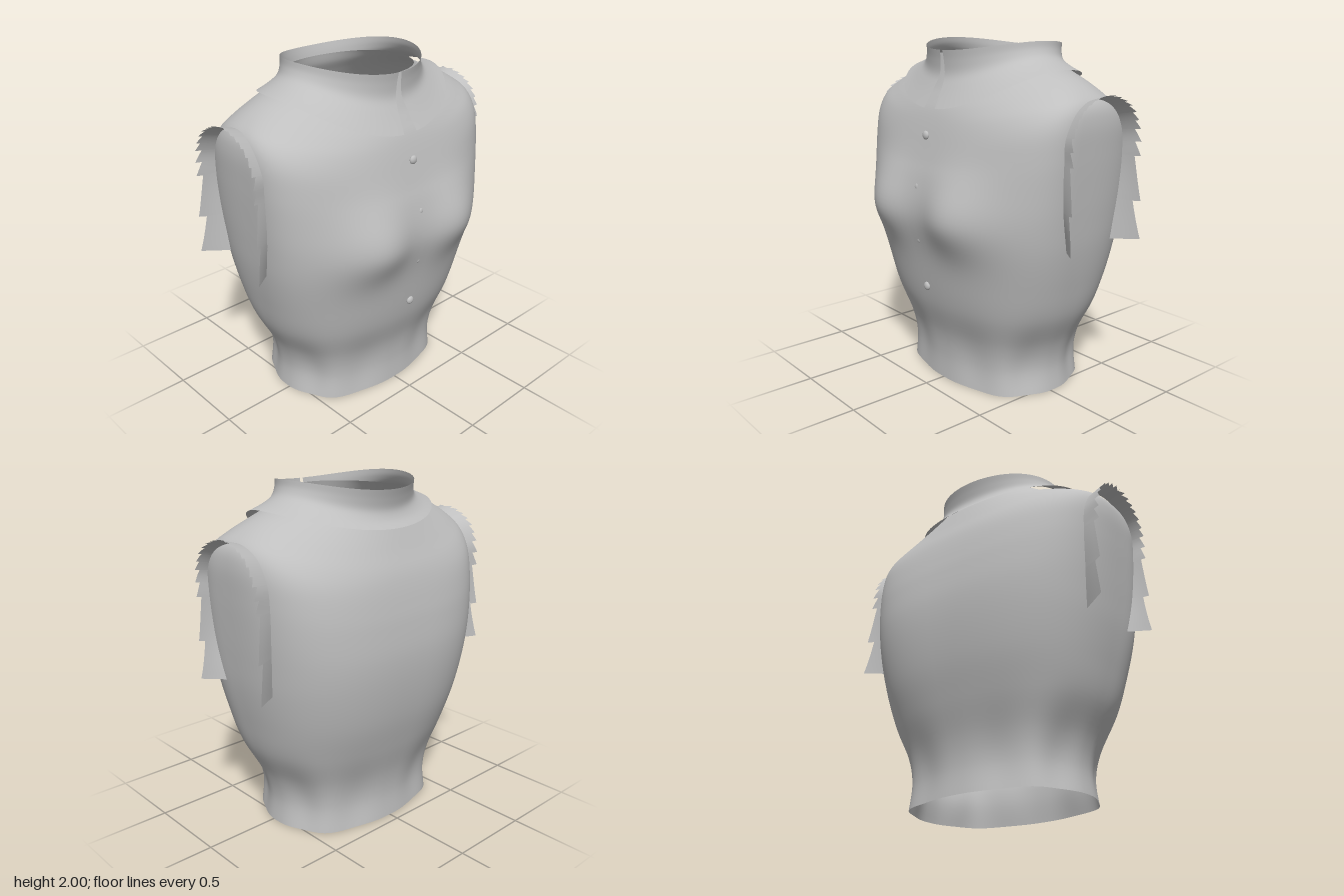
import * as THREE from 'three';

const fabric = new THREE.MeshStandardMaterial({ color: 0xbfbfbf, side: THREE.DoubleSide });
fabric.name = 'grey fabric';

// Ring: [half width, side y, front z, front y, back z, back y, widest z, front exponent, back exponent]
const level = (y, w, front, back, mid, nf, nb) => [w, y, front, y, back, y, mid, nf, nb];
const BODY = [
  level(0, 0.55, 0.37, -0.44, -0.03, 2.5, 2.5), level(0.15, 0.537, 0.365, -0.43, -0.03, 2.5, 2.5),
  level(0.3, 0.57, 0.385, -0.45, -0.02, 2.5, 2.5), level(0.5, 0.665, 0.45, -0.51, 0, 2.4, 2.5),
  level(0.7, 0.718, 0.49, -0.562, 0.03, 2.4, 2.7), level(0.9, 0.757, 0.515, -0.592, 0.06, 2.45, 2.9),
  level(1.08, 0.778, 0.52, -0.6, 0.08, 2.5, 3.1), level(1.25, 0.793, 0.51, -0.585, 0.09, 2.5, 3.3),
  [0.806, 1.43, 0.49, 1.36, -0.567, 1.36, 0.09, 2.5, 3.3],
  [0.811, 1.59, 0.465, 1.47, -0.545, 1.46, 0.07, 2.5, 3.1],
  [0.788, 1.69, 0.44, 1.56, -0.52, 1.54, 0.03, 2.4, 2.7],
  [0.718, 1.755, 0.415, 1.63, -0.48, 1.63, -0.01, 2.2, 2.3],
  [0.62, 1.81, 0.385, 1.69, -0.445, 1.71, -0.03, 2.05, 2.05],
  [0.52, 1.85, 0.355, 1.75, -0.415, 1.775, -0.03, 2, 2],
  [0.44, 1.885, 0.325, 1.83, -0.382, 1.84, -0.03, 2, 2],
  [0.375, 1.92, 0.3, 1.93, -0.37, 1.9, -0.035, 2, 2],
];
const COLLAR = [
  [0.585, 1.855, 0.44, 1.635, -0.45, 1.75, -0.005, 2.05, 2.05],
  [0.5, 1.885, 0.378, 1.745, -0.412, 1.79, -0.02, 2.05, 2.05],
  [0.44, 1.918, 0.347, 1.815, -0.392, 1.84, -0.025, 2, 2],
  [0.41, 1.96, 0.345, 1.89, -0.4, 1.9, -0.03, 2, 2],
  [0.4, 2, 0.352, 1.95, -0.415, 1.955, -0.03, 2, 2],
];

// Smooth interpolation between rings
function ringAt(rings, t) {
  const f = t * (rings.length - 1);
  const i = Math.min(Math.floor(f), rings.length - 2), u = f - i;
  const at = (k) => rings[Math.max(0, Math.min(rings.length - 1, k))];
  return rings[0].map((_, j) => {
    const a = at(i - 1)[j], b = at(i)[j], c = at(i + 1)[j], d = at(i + 2)[j];
    return b + 0.5 * u * (c - a + u * (2 * a - 5 * b + 4 * c - d + u * (3 * (b - c) + d - a)));
  });
}

function ringPoint([w, ySide, zf, yf, zb, yb, mid, nf, nb], a) {
  const c = Math.cos(a), s = Math.sin(a);
  const n = s > 0 ? nf : nb;
  const pow = (v) => Math.abs(v) ** (2 / n);
  const y = ySide * c * c + (s > 0 ? yf : yb) * s * s;
  return new THREE.Vector3(w * Math.sign(c) * pow(c), y, mid + ((s > 0 ? zf : zb) - mid) * pow(s));
}

// Surface from a grid of points; wrap joins the last column to the first
function gridGeometry(rows, cols, wrap, pointAt) {
  const pos = [], index = [];
  for (let r = 0; r < rows; r++)
    for (let c = 0; c < cols; c++) pos.push(...pointAt(r, c).toArray());
  for (let r = 0; r < rows - 1; r++)
    for (let c = 0; c < (wrap ? cols : cols - 1); c++) {
      const a = r * cols + c, b = r * cols + (c + 1) % cols;
      index.push(a, a + cols, b, b, a + cols, b + cols);
    }
  const g = new THREE.BufferGeometry();
  g.setAttribute('position', new THREE.Float32BufferAttribute(pos, 3));
  g.setIndex(index);
  g.computeVertexNormals();
  return g;
}

// Body point with the chest fullness and soft waist folds
function bodyPoint(t, a) {
  const p = ringPoint(ringAt(BODY, t), a);
  if (p.z > 0) {
    const dy = (p.y - 1.06) / (p.y > 1.06 ? 0.16 : 0.13);
    const bump = (x) => Math.exp(-(((p.x - x) / 0.17) ** 2) / 2);
    p.z += 0.092 * Math.exp(-dy * dy / 2) * (bump(0.3) + bump(-0.3)) * Math.min(1, p.z / 0.25);
  }
  const fold = 0.024 * Math.exp(-(((p.y - 0.15) / 0.24) ** 2));
  const k = 1 + fold * (Math.cos(8 * a) - 1);
  p.x *= k;
  p.z *= k;
  return p;
}

// Armhole frill: a toothed strip arching over the shoulder
const INNER = [
  [0.75, 0.92, 0.11], [0.772, 1.15, 0.165], [0.785, 1.4, 0.185], [0.79, 1.54, 0.18], [0.785, 1.66, 0.1],
  [0.77, 1.715, -0.055],
  [0.765, 1.66, -0.21], [0.76, 1.54, -0.285], [0.755, 1.4, -0.3], [0.745, 1.15, -0.285], [0.73, 0.92, -0.26],
];
const OUTER = [
  [0.87, 0.93, 0.2], [0.87, 1.15, 0.2], [0.87, 1.4, 0.198], [0.872, 1.55, 0.195], [0.872, 1.68, 0.12],
  [0.872, 1.745, -0.055],
  [0.872, 1.68, -0.235], [0.872, 1.55, -0.312], [0.87, 1.4, -0.325], [0.87, 1.15, -0.34], [0.87, 0.93, -0.35],
];
function frillGeometry(side) {
  const curve = (pts) => new THREE.CatmullRomCurve3(pts.map((p) => new THREE.Vector3(...p)));
  const inner = curve(INNER), outer = curve(OUTER);
  const half = [];
  [1, 1, 2, 3, 4].forEach((teeth, i) => {
    for (let k = 0; k < teeth; k++)
      for (let j = 0; j <= 6; j++) {
        const u = j / 6;
        half.push([(i + (k + u * 0.985) / teeth) / 10, 1 - u * (teeth > 2 ? 0.2 : 0.32)]);
      }
  });
  const steps = [...half, [0.5, 1], ...half.slice().reverse().map(([t, w]) => [1 - t, w])];
  return gridGeometry(steps.length, 5, false, (r, c) => {
    const [t, w] = steps[r];
    const p = inner.getPoint(t).lerp(outer.getPoint(t), w * c / 4);
    p.x *= side;
    return p;
  });
}

export function createModel() {
  const model = new THREE.Group();
  model.name = 'sleevelessBlouse';
  const add = (name, geometry) => {
    const mesh = new THREE.Mesh(geometry, fabric);
    mesh.name = name;
    model.add(mesh);
    return mesh;
  };

  const ROWS = 91, COLS = 128;
  add('bodice', gridGeometry(ROWS, COLS, true,
    (r, c) => bodyPoint(r / (ROWS - 1), c / COLS * Math.PI * 2)));

  // Collar with a narrow slit widening downwards at the front
  add('collar', gridGeometry(21, 97, false, (r, c) => {
    const t = r / 20, gap = 0.077 + (0.025 - 0.077) * t;
    const a = Math.PI / 2 + gap + c / 96 * (Math.PI * 2 - 2 * gap);
    return ringPoint(ringAt(COLLAR, t), a);
  }));

  add('leftFrill', frillGeometry(1));
  add('rightFrill', frillGeometry(-1));

  // Buttons down the front; the two middle ones are nearly sunk in
  const centreLine = Array.from({ length: 200 }, (_, i) => bodyPoint(i / 199, Math.PI / 2));
  for (const [y, proud] of [[1.49, 0.004], [1.205, -0.0125], [0.9, -0.0125], [0.61, 0.004]]) {
    const near = centreLine.reduce((m, p) => (Math.abs(p.y - y) < Math.abs(m.y - y) ? p : m));
    const button = add('button', new THREE.SphereGeometry(0.025, 20, 14));
    button.scale.z = 0.6;
    button.position.set(0, y, near.z + proud);
  }
  return model;
}
